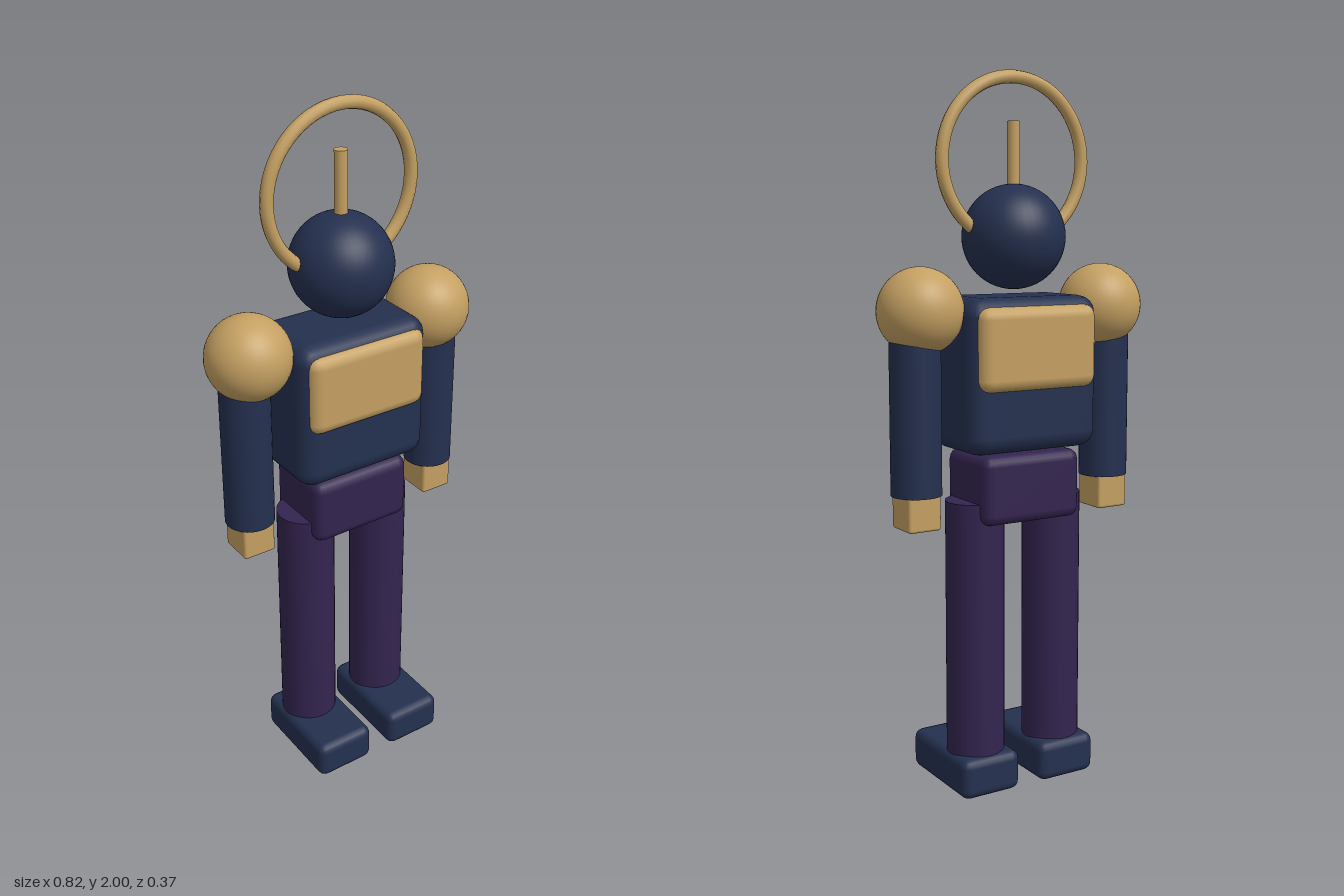
import * as THREE from 'three';
import { RoundedBoxGeometry } from 'three/addons/geometries/RoundedBoxGeometry.js';

export function createModel() {
  const model = new THREE.Group();
  model.name = 'figure';
  const material = (name, color) => {
    const m = new THREE.MeshStandardMaterial({ color });
    m.name = name;
    return m;
  };
  const navy = material('navy', 0x24304f);
  const purple = material('purple', 0x33244f);
  const gold = material('gold', 0xc4a062);
  const Z = -0.033; // depth of the body's centre line

  const add = (name, geometry, mat, x, y, z = Z) => {
    const mesh = new THREE.Mesh(geometry, mat);
    mesh.name = name;
    mesh.position.set(x, y, z);
    model.add(mesh);
    return mesh;
  };
  const box = (w, h, d, r) => new RoundedBoxGeometry(w, h, d, 2, r);
  const tube = (r, h) => new THREE.CylinderGeometry(r, r, h, 32);
  const ball = (r) => new THREE.SphereGeometry(r, 40, 28);

  // Head with halo ring and crest rod
  add('head', ball(0.143), navy, 0, 1.556);
  add('halo', new THREE.TorusGeometry(0.222, 0.018, 10, 64), gold, 0, 1.76);
  add('crest', new THREE.CylinderGeometry(0.018, 0.018, 0.25, 16), gold, 0, 1.74);

  // Torso, with the armour block showing at chest and back
  add('torso', box(0.41, 0.424, 0.262, 0.05), navy, 0, 1.185);
  add('chestArmour', box(0.37, 0.23, 0.296, 0.034), gold, 0, 1.26, -0.035);
  add('pelvis', box(0.31, 0.194, 0.224, 0.03), purple, 0, 0.872);

  // Limbs, mirrored
  for (const [side, s] of [['left', 1], ['right', -1]]) {
    add(side + 'Shoulder', ball(0.118), gold, s * 0.291, 1.362);
    add(side + 'Arm', tube(0.07, 0.48), navy, s * 0.308, 1.107);
    add(side + 'Hand', box(0.098, 0.12, 0.104, 0.008), gold, s * 0.308, 0.833);
    add(side + 'Leg', tube(0.083, 0.775), purple, s * 0.126, 0.4475);
    add(side + 'Foot', box(0.184, 0.115, 0.314, 0.025), navy, s * 0.126, 0.0575, 0.025);
  }
  return model;
}
